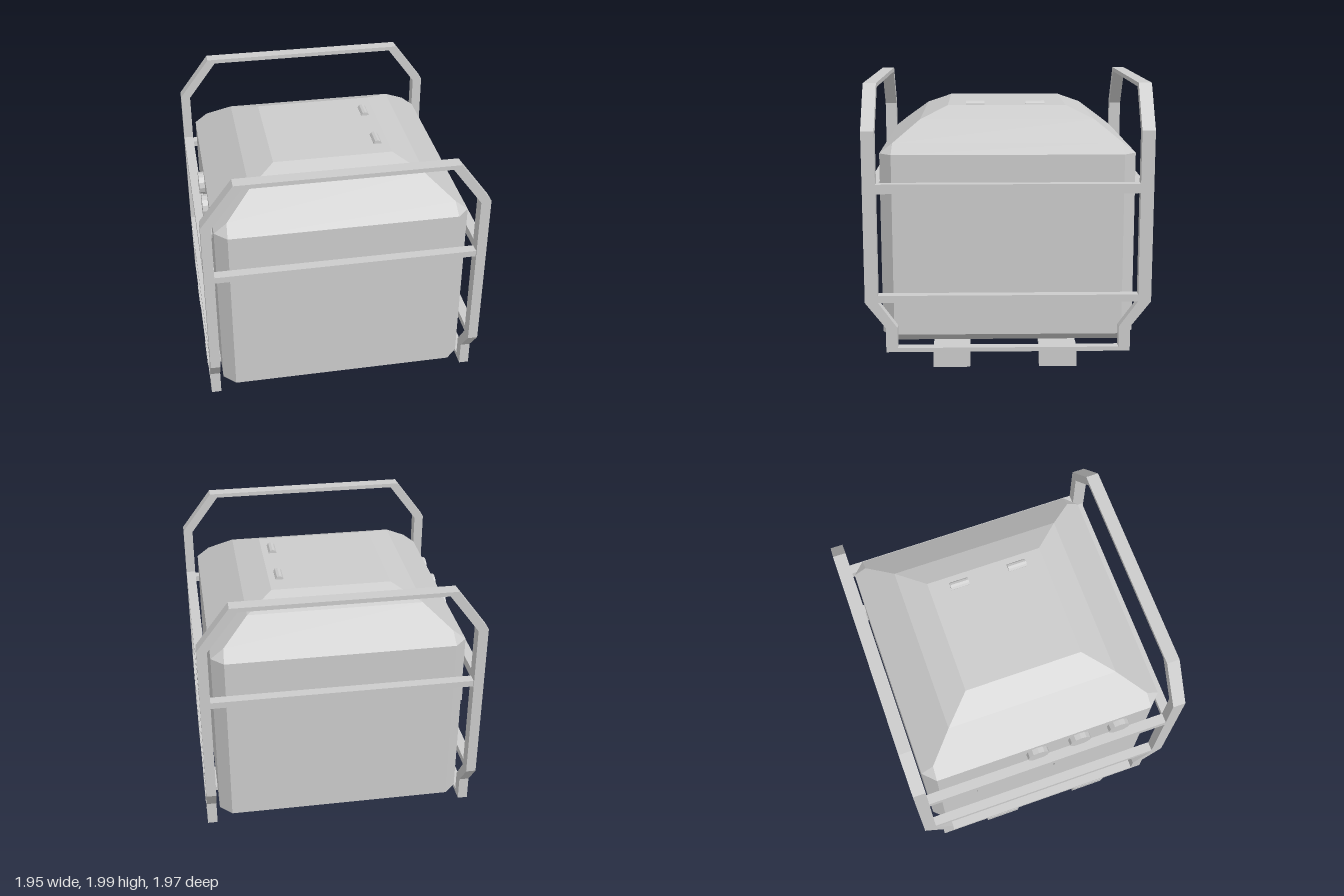
import * as THREE from 'three';

const material = new THREE.MeshStandardMaterial({ color: 0xcccccc, flatShading: true });

function add(parent, name, geometry) {
  const mesh = new THREE.Mesh(geometry, material);
  mesh.name = name;
  parent.add(mesh);
  return mesh;
}

// Box given by its lower and upper corners
function box(parent, name, [x0, y0, z0], [x1, y1, z1]) {
  const mesh = add(parent, name, new THREE.BoxGeometry(x1 - x0, y1 - y0, z1 - z0));
  mesh.position.set((x0 + x1) / 2, (y0 + y1) / 2, (z0 + z1) / 2);
  return mesh;
}

function prism(points, depth) {
  const shape = new THREE.Shape(points.map(p => new THREE.Vector2(...p)));
  return new THREE.ExtrudeGeometry(shape, { depth, bevelEnabled: false });
}

// Square cross-section with chamfered corners
function ring(y, h, c) {
  const k = h - c;
  return [[h, k], [k, h], [-k, h], [-h, k], [-h, -k], [-k, -h], [k, -h], [h, -k]]
    .map(([x, z]) => new THREE.Vector3(x, y, z));
}

// Closed flat-sided loft through the cross-sections
function loft(rings) {
  const tris = [];
  const tri = (a, b, c) => {
    if (!a.equals(b) && !b.equals(c) && !c.equals(a)) tris.push(a, b, c);
  };
  for (let r = 0; r + 1 < rings.length; r++) {
    for (let i = 0; i < 8; i++) {
      const j = (i + 1) % 8, lo = rings[r], hi = rings[r + 1];
      tri(lo[i], hi[i], lo[j]);
      tri(lo[j], hi[i], hi[j]);
    }
  }
  const bottom = rings[0], top = rings[rings.length - 1];
  for (let i = 1; i < 7; i++) {
    tri(bottom[0], bottom[i], bottom[i + 1]);
    tri(top[0], top[i + 1], top[i]);
  }
  const geometry = new THREE.BufferGeometry().setFromPoints(tris);
  geometry.computeVertexNormals();
  return geometry;
}

export function createModel() {
  const model = new THREE.Group();
  model.name = 'framedUnit';

  // Casing with chamfered corners and a two-step hipped roof
  add(model, 'casing', loft([
    ring(0.19, 0.79, 0), ring(0.255, 0.88, 0.085), ring(1.525, 0.88, 0.085),
    ring(1.595, 0.79, 0), ring(1.735, 0.61, 0), ring(1.815, 0.42, 0),
  ]));

  // Half-round roof catches
  for (const z of [-0.205, 0.225]) {
    const geometry = new THREE.CylinderGeometry(0.03, 0.03, 0.135, 10).rotateX(Math.PI / 2);
    add(model, 'roofCatch', geometry).position.set(0.345, 1.81, z);
  }

  // End hoops, front and back
  const frame = new THREE.Group();
  frame.name = 'frame';
  model.add(frame);
  const outer = [[0.975, 0.515], [0.975, 1.7], [0.75, 2]];
  const inner = [[0.695, 1.97], [0.905, 1.69], [0.905, 0.515]];
  const flip = points => points.map(([x, y]) => [-x, y]).reverse();
  const hoop = [...outer, ...flip(outer), ...flip(inner), ...inner];
  const leg = [[0.985, 0.515], [0.895, 0.515], [0.765, 0.335], [0.765, 0.16], [0.845, 0.16], [0.845, 0.335]];
  for (const s of [1, -1]) {
    add(frame, 'endHoop', prism(hoop, 0.09)).position.z = s > 0 ? 0.895 : -0.985;
    box(frame, 'endRail', [-0.905, 1.245, s * 0.94 - 0.035], [0.905, 1.29, s * 0.94 + 0.035]);
    // Cranked legs, profile drawn in z and y
    for (const x of [-0.975, 0.905]) {
      const geometry = prism(leg.map(([z, y]) => [-s * z, y]), 0.07).rotateY(Math.PI / 2);
      add(frame, 'crankedLeg', geometry).position.x = x;
    }
  }

  // Side rails
  for (const x of [-0.975, 0.905]) {
    box(frame, 'upperSideRail', [x, 1.275, -0.895], [x + 0.07, 1.34, 0.895]);
    box(frame, 'lowerSideRail', [x, 0.515, -0.895], [x + 0.07, 0.565, 0.895]);
    box(frame, 'baseRail', [x, 0.16, -0.765], [x + 0.07, 0.19, 0.765]);
  }

  // Wide cross members and feet, the right-hand feet splayed inward
  for (const [z0, z1] of [[-0.475, -0.215], [0.265, 0.52]]) {
    box(frame, 'crossMember', [-0.905, 0.16, z0], [0.905, 0.189, z1]);
    box(frame, 'leftFoot', [0.905, 0.05, z0], [0.975, 0.16, z1]);
    const foot = box(frame, 'rightFoot', [-0.97, 0.012, z0], [-0.9, 0.165, z1]);
    foot.rotation.z = 0.11;
  }

  // Round controls on the right-hand panel
  const panel = new THREE.Group();
  panel.name = 'controlPanel';
  model.add(panel);
  const disc = (name, radius, thickness, sides, y, z) => {
    const geometry = new THREE.CylinderGeometry(radius, radius, thickness, sides).rotateZ(Math.PI / 2);
    add(panel, name, geometry).position.set(-0.88 - thickness / 2, y, z);
  };
  for (const z of [-0.06, 0.255, 0.55]) disc('dial', 0.08, 0.04, 12, 1.41, z);
  disc('roundCover', 0.22, 0.028, 16, 0.92, 0.3);

  // Switch with clipped ends and a small socket
  const w = 0.078, h = 0.13, c = 0.04;
  const pill = [[w, c - h], [w, h - c], [w - c, h], [c - w, h], [-w, h - c], [-w, c - h], [c - w, -h], [w - c, -h]];
  add(panel, 'switch', prism(pill, 0.03).rotateY(-Math.PI / 2)).position.set(-0.878, 0.99, -0.447);
  box(panel, 'socket', [-0.905, 0.98, -0.745], [-0.875, 1.08, -0.615]);

  return model;
}
